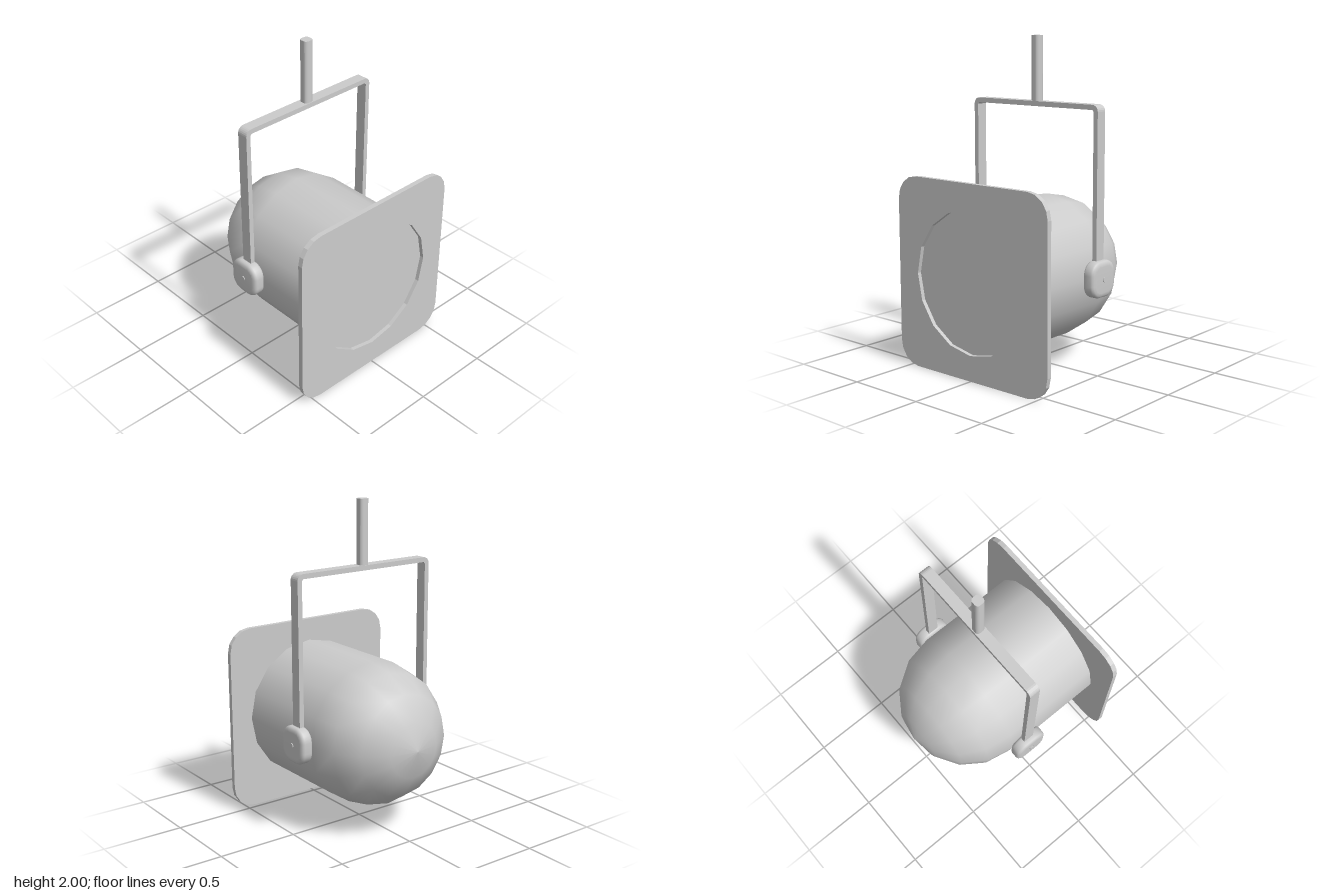
import * as THREE from 'three';
import { toCreasedNormals } from 'three/addons/utils/BufferGeometryUtils.js';

const CY = 0.59;      // height of the lamp axis
const BAR_Z = -0.032; // plane of the hanging bracket

export function createModel() {
  const group = new THREE.Group();
  const material = new THREE.MeshStandardMaterial({ color: 0xcccccc });

  function add(name, geometry, x = 0, y = 0, z = 0) {
    const mesh = new THREE.Mesh(geometry, material);
    mesh.name = name;
    mesh.position.set(x, y, z);
    group.add(mesh);
    return mesh;
  }

  // Square with rounded corners, centred on the origin
  function roundedSquare(h, r) {
    const s = new THREE.Shape();
    s.absarc(h - r, h - r, r, 0, Math.PI / 2);
    s.absarc(r - h, h - r, r, Math.PI / 2, Math.PI);
    s.absarc(r - h, r - h, r, Math.PI, Math.PI * 1.5);
    s.absarc(h - r, r - h, r, Math.PI * 1.5, Math.PI * 2);
    s.closePath();
    return s;
  }

  // Can: straight barrel closed by a hemispherical back
  const R = 0.445;
  const profile = [new THREE.Vector2(R, -0.537)];
  for (let i = 0; i <= 4; i++) {
    const a = (i * Math.PI) / 8;
    profile.push(new THREE.Vector2(i === 4 ? 0 : R * Math.cos(a), 0.12 + R * Math.sin(a)));
  }
  add('lampHousing', new THREE.LatheGeometry(profile, 16).rotateX(-Math.PI / 2), 0, CY, 0);

  // Front plate with a 16-sided opening
  const plate = roundedSquare(0.585, 0.145);
  const hole = new THREE.Path();
  for (let i = 0; i < 16; i++) {
    const a = (-i * Math.PI) / 8;
    hole[i ? 'lineTo' : 'moveTo'](0.43 * Math.cos(a), 0.43 * Math.sin(a));
  }
  hole.closePath();
  plate.holes.push(hole);
  add('frontPlate', new THREE.ExtrudeGeometry(plate, { depth: 0.03, bevelEnabled: false, curveSegments: 2 }), 0, CY, 0.535);

  // Lens set at the back of the opening
  add('lens', new THREE.CircleGeometry(0.44, 16), 0, CY, 0.54);

  // Hanging bracket: one flat bar bent into a U
  const bar = new THREE.Shape();
  bar.moveTo(-0.485, CY);
  bar.lineTo(-0.455, CY);
  bar.lineTo(-0.455, 1.57);
  bar.lineTo(-0.445, 1.58);
  bar.lineTo(0.445, 1.58);
  bar.lineTo(0.455, 1.57);
  bar.lineTo(0.455, CY);
  bar.lineTo(0.485, CY);
  bar.lineTo(0.485, 1.57);
  bar.absarc(0.445, 1.57, 0.04, 0, Math.PI / 2);
  bar.absarc(-0.445, 1.57, 0.04, Math.PI / 2, Math.PI);
  bar.closePath();
  add('bracket', new THREE.ExtrudeGeometry(bar, { depth: 0.07, bevelEnabled: false, curveSegments: 3 }), 0, 0, BAR_Z - 0.035);

  // Hanging rod
  const rod = new THREE.ExtrudeGeometry(roundedSquare(0.03, 0.02), { depth: 0.4, bevelEnabled: false, curveSegments: 3 });
  add('hangingRod', rod.rotateX(-Math.PI / 2), 0, 1.6, BAR_Z);

  // Pivot knobs with a small pin on each side
  for (const side of [1, -1]) {
    const name = side > 0 ? 'left' : 'right';
    const knob = new THREE.ExtrudeGeometry(roundedSquare(0.08, 0.05), {
      depth: 0.04, bevelThickness: 0.02, bevelSize: 0.03, bevelSegments: 3, curveSegments: 4,
    });
    knob.translate(0, 0, -0.02).rotateY(Math.PI / 2);
    add(name + 'Knob', toCreasedNormals(knob, 0.8), side * 0.48, CY, BAR_Z);
    const pin = new THREE.CylinderGeometry(0.017, 0.017, 0.03, 8).rotateZ(Math.PI / 2);
    add(name + 'Pin', pin, side * 0.51, CY, BAR_Z);
  }

  return group;
}
